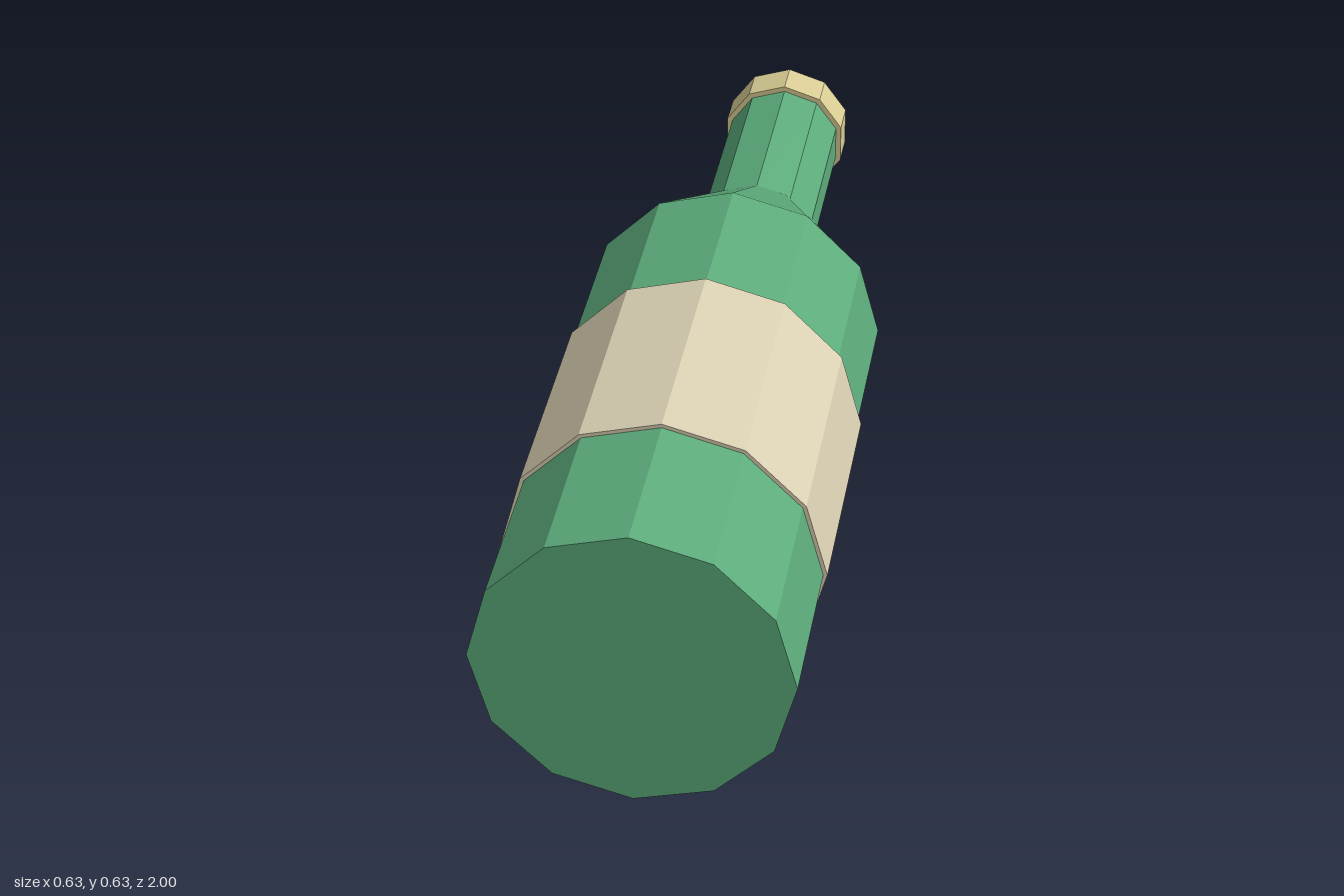
import * as THREE from 'three';

const AXIS_Y = 0.316;

function material(name, color) {
  const m = new THREE.MeshStandardMaterial({ color, flatShading: true });
  m.name = name;
  return m;
}

// Faceted section lying along z, from zFront (radius rFront) to zBack (radius rBack)
function section(name, mat, sides, zFront, zBack, rFront, rBack = rFront, open = false) {
  const geo = new THREE.CylinderGeometry(rBack, rFront, zFront - zBack, sides, 1, open);
  geo.rotateX(-Math.PI / 2);
  const mesh = new THREE.Mesh(geo, mat);
  mesh.name = name;
  mesh.position.set(0, AXIS_Y, (zFront + zBack) / 2);
  return mesh;
}

export function createModel() {
  const glass = material('green glass', 0x5cab7b);
  const paper = material('cream paper', 0xd9cfb2);
  const capMat = material('tan cap', 0xd9cc94);

  const bottle = new THREE.Group();
  bottle.name = 'bottle';
  bottle.add(
    // Twelve-sided body, label sleeve and shoulder
    section('body', glass, 12, 1, -0.18, 0.308),
    section('label', paper, 12, 0.66, 0.16, 0.316),
    section('shoulder', glass, 12, -0.18, -0.51, 0.308, 0.125),
    // Ten-sided neck and cap
    section('neck', glass, 10, -0.5, -0.93, 0.125),
    section('cap', capMat, 10, -0.92, -1, 0.137)
  );
  return bottle;
}
